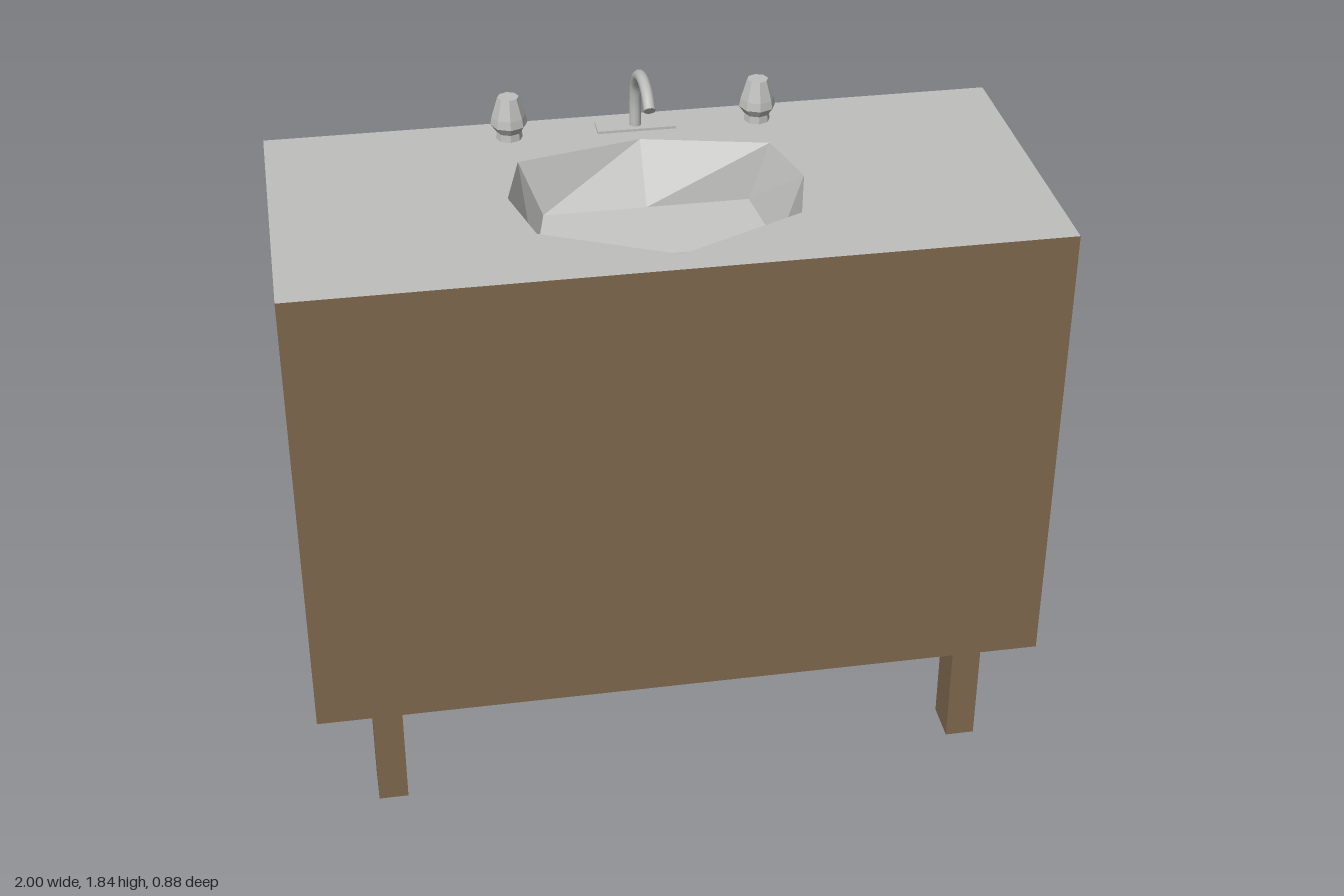
import * as THREE from 'three';

const TOP = 1.62, BOTTOM = 0.315;

// Rim and floor corners of the basin as [x, z], running from the left side round the front
const RIM = [[0.39, 0], [0.34, 0.2], [0, 0.365], [-0.34, 0.2], [-0.39, 0], [-0.34, -0.2], [0, -0.28], [0.34, -0.2]];
const FLOOR = [[0.325, 0], [0.28, 0.165], [0, 0.305], [-0.28, 0.165], [-0.325, 0], [-0.28, -0.17], [0, -0.17], [0.28, -0.17]];

function basinGeometry() {
  const rim = RIM.map(([x, z]) => [x, TOP, z]);
  // The floor is deepest along z = 0 and rises more to the back than to the front
  const floor = FLOOR.map(([x, z]) => [x, TOP - 0.2 + (z < 0 ? -0.3 * z : 0.065 * z), z]);
  const pos = [];
  const tri = (a, b, c) => pos.push(...a, ...b, ...c);
  for (let i = 0; i < 8; i++) {
    const j = (i + 1) % 8;
    tri(rim[i], floor[i], rim[j]);
    tri(rim[j], floor[i], floor[j]);
  }
  for (const start of [0, 4]) {
    for (let k = 1; k < 4; k++) {
      tri(floor[start], floor[(start + k + 1) % 8], floor[start + k]);
    }
  }
  const geo = new THREE.BufferGeometry();
  geo.setAttribute('position', new THREE.Float32BufferAttribute(pos, 3));
  geo.computeVertexNormals();
  return geo;
}

export function createModel() {
  const group = new THREE.Group();
  const wood = new THREE.MeshStandardMaterial({ color: 0x7e684e });
  wood.name = 'wood';
  const grey = new THREE.MeshStandardMaterial({ color: 0xbebebc });
  grey.name = 'grey';
  // Same grey tone, faceted for the tap handles
  const add = (name, geo, mat, x = 0, y = 0, z = 0) => {
    const mesh = new THREE.Mesh(geo, mat);
    mesh.name = name;
    mesh.position.set(x, y, z);
    group.add(mesh);
    return mesh;
  };

  // Cabinet, open at the top to hold the basin
  const box = new THREE.BoxGeometry(2, TOP - BOTTOM, 0.88);
  const index = Array.from(box.index.array);
  index.splice(12, 6);
  box.setIndex(index);
  box.clearGroups();
  add('cabinet', box, wood, 0, (TOP + BOTTOM) / 2, 0);

  // Legs
  for (const [side, x] of [['left', 0.81], ['right', -0.81]]) {
    for (const [end, z] of [['Front', 0.353], ['Back', -0.375]]) {
      add(`${side}${end}Leg`, new THREE.BoxGeometry(0.08, BOTTOM, 0.113), wood, x, BOTTOM / 2, z);
    }
  }

  // Countertop with the basin opening (shape y becomes -z)
  const outline = new THREE.Shape([[-1, -0.44], [1, -0.44], [1, 0.44], [-1, 0.44]].map(p => new THREE.Vector2(...p)));
  outline.holes.push(new THREE.Path(RIM.map(([x, z]) => new THREE.Vector2(x, -z))));
  add('countertop', new THREE.ShapeGeometry(outline).rotateX(-Math.PI / 2), grey, 0, TOP, 0);
  add('basin', basinGeometry(), grey);

  // Tap handles
  const profile = [[0, 0], [0.036, 0], [0.034, 0.02], [0.05, 0.042], [0.046, 0.065], [0.029, 0.12], [0, 0.12]]
    .map(p => new THREE.Vector2(...p));
  for (const [side, x] of [['left', 0.335], ['right', -0.345]]) {
    const geo = new THREE.LatheGeometry(profile, 8).toNonIndexed();
    geo.computeVertexNormals();
    add(`${side}TapHandle`, geo, grey, x, TOP, -0.35);
  }

  // Spout and its base plate
  add('spoutPlate', new THREE.BoxGeometry(0.214, 0.007, 0.06), grey, 0, TOP + 0.0035, -0.358);
  const path = new THREE.CatmullRomCurve3(
    [[1.62, -0.358], [1.70, -0.358], [1.755, -0.343], [1.80, -0.295], [1.82, -0.22], [1.809, -0.157], [1.78, -0.118]]
      .map(([y, z]) => new THREE.Vector3(0, y, z)));
  add('spout', new THREE.TubeGeometry(path, 28, 0.016, 10), grey);
  const tip = add('spoutTip', new THREE.CircleGeometry(0.016, 10), grey);
  tip.position.copy(path.getPoint(1));
  tip.lookAt(path.getPoint(1).add(path.getTangent(1)));

  return group;
}
